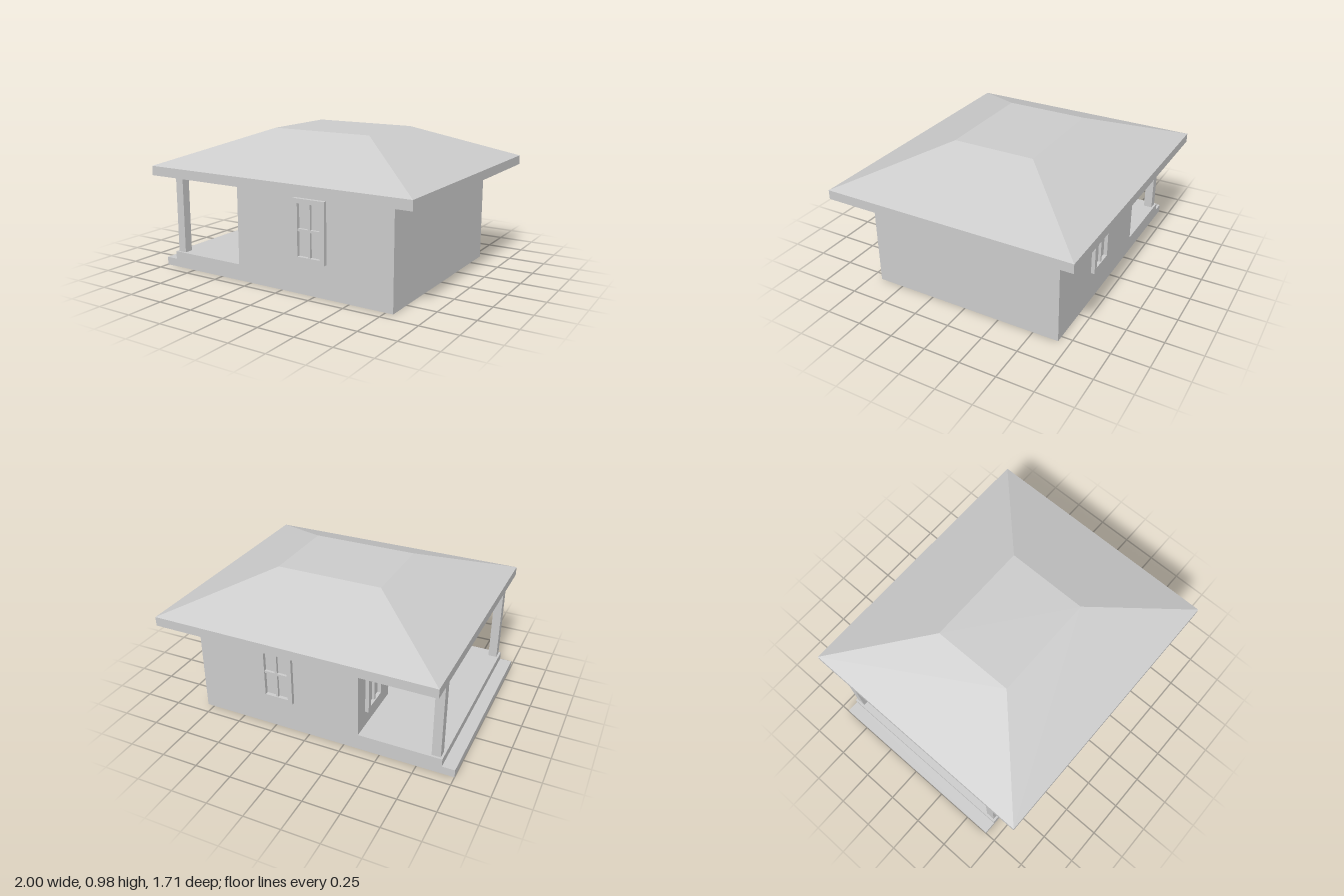
import * as THREE from 'three';
import { ConvexGeometry } from 'three/addons/geometries/ConvexGeometry.js';

const material = new THREE.MeshStandardMaterial({ color: 0xcccccc, flatShading: true });

function addMesh(parent, name, geometry) {
  const mesh = new THREE.Mesh(geometry, material);
  mesh.name = name;
  parent.add(mesh);
  return mesh;
}

// Box given by its lower and upper limits on each axis
function addBox(parent, name, [x0, x1], [y0, y1], [z0, z1]) {
  const mesh = addMesh(parent, name, new THREE.BoxGeometry(x1 - x0, y1 - y0, z1 - z0));
  mesh.position.set((x0 + x1) / 2, (y0 + y1) / 2, (z0 + z1) / 2);
  return mesh;
}

function rectangle(Type, x0, x1, y0, y1) {
  return new Type([[x0, y0], [x1, y0], [x1, y1], [x0, y1]].map(([x, y]) => new THREE.Vector2(x, y)));
}

// Framed window with crossed glazing bars, facing +z, its back at z = 0
function createWindow() {
  const group = new THREE.Group();
  group.name = 'window';
  const w = 0.115, h = 0.2, iw = 0.083, ih = 0.17, bar = 0.008;
  const frame = rectangle(THREE.Shape, -w, w, -h, h);
  frame.holes.push(rectangle(THREE.Path, -iw, iw, -ih, ih));
  addMesh(group, 'windowFrame', new THREE.ExtrudeGeometry(frame, { depth: 0.025, bevelEnabled: false }));
  addBox(group, 'verticalGlazingBar', [-bar, bar], [-ih, ih], [0, 0.018]);
  for (const s of [-1, 1]) {
    addBox(group, 'horizontalGlazingBar', [s < 0 ? -iw : bar, s < 0 ? -bar : iw], [-bar, bar], [0, 0.018]);
  }
  return group;
}

export function createModel() {
  const house = new THREE.Group();
  house.name = 'house';
  const halfDepth = 0.675, wallX = -0.35, floorY = 0.11, eaveY = 0.68;

  // Floor slab, with the porch on the -x side, and one step
  addBox(house, 'floorSlab', [-0.915, 0.8], [0, floorY], [-halfDepth, halfDepth]);
  addBox(house, 'step', [-1, -0.915], [0, 0.055], [-halfDepth, halfDepth]);

  // Walls: a plan with an entrance recess opening to the porch
  const plan = new THREE.Shape([
    [wallX, -halfDepth], [0.8, -halfDepth], [0.8, halfDepth], [wallX, halfDepth],
    [wallX, 0.175], [-0.05, 0.175], [-0.05, -0.175], [wallX, -0.175],
  ].map(([x, y]) => new THREE.Vector2(x, y)));
  const walls = new THREE.ExtrudeGeometry(plan, { depth: eaveY - floorY, bevelEnabled: false });
  walls.rotateX(-Math.PI / 2);
  addMesh(house, 'walls', walls).position.y = floorY;

  // Hipped roof: fascia, slopes and flat top from three rectangular rings
  const rings = [
    [-0.92, 1, eaveY, 0.853],
    [-0.92, 1, 0.743, 0.853],
    [-0.325, 0.405, 0.975, 0.283],
  ];
  const points = [];
  for (const [x0, x1, y, z] of rings) {
    for (const x of [x0, x1]) points.push(new THREE.Vector3(x, y, z), new THREE.Vector3(x, y, -z));
  }
  addMesh(house, 'roof', new ConvexGeometry(points));

  // Porch posts and windows, mirrored front to back
  for (const s of [1, -1]) {
    addBox(house, 'porchPost', [-0.9, -0.84], [floorY, eaveY], s > 0 ? [0.6, 0.66] : [-0.66, -0.6]);

    const sideWindow = createWindow();
    sideWindow.name = 'sideWindow';
    sideWindow.position.set(0.222, 0.42, s * halfDepth);
    sideWindow.rotation.y = s > 0 ? 0 : Math.PI;
    house.add(sideWindow);

    const porchWindow = createWindow();
    porchWindow.name = 'porchWindow';
    porchWindow.position.set(wallX, 0.42, s * 0.45);
    porchWindow.rotation.y = -Math.PI / 2;
    house.add(porchWindow);
  }
  return house;
}
